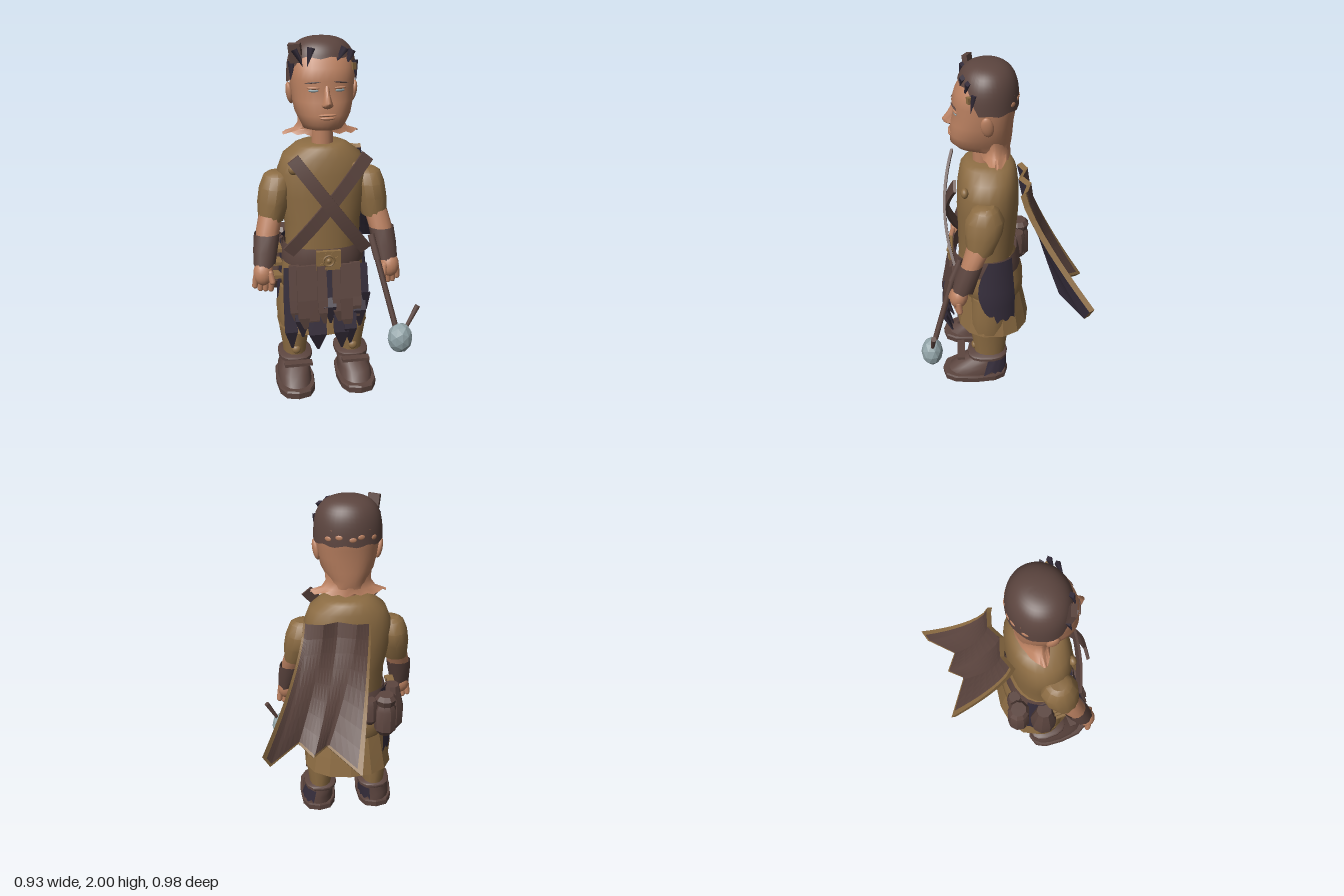
import * as THREE from 'three';
import { toCreasedNormals } from 'three/addons/utils/BufferGeometryUtils.js';

const paint = (name, color) => new THREE.MeshStandardMaterial({ name, color, side: THREE.DoubleSide });
const V = (x, y, z) => new THREE.Vector3(x, y, z);
const { lerp, smoothstep } = THREE.MathUtils;
const SMOOTH = 0.9, FLAT = 0.01;

export function createModel() {
  const tan = paint('tan cloth', 0x8c6c43), skin = paint('skin', 0xbb8161), brown = paint('brown leather', 0x5c453f);
  const navy = paint('dark cloth', 0x352d3b), steel = paint('steel', 0x92a4a8);

  const root = new THREE.Group();
  const figure = new THREE.Group();
  figure.name = 'figure';
  figure.position.x = -0.055;
  root.add(figure);

  const add = (parent, name, geo, mat, pos = [0, 0, 0], rot = [0, 0, 0], scale = [1, 1, 1]) => {
    const m = new THREE.Mesh(geo, mat);
    m.name = name;
    m.position.set(...pos); m.rotation.set(...rot); m.scale.set(...scale);
    parent.add(m);
    return m;
  };

  // Skin over rings listed from top to bottom: [y, centre x, half width, back z, front z]
  function loft(rings, { seg = 20, start = 0, arc = Math.PI * 2, p = 2, cap = true, jag = 0, crease = SMOOTH } = {}) {
    const full = arc > 6.28, n = full ? seg : seg + 1, pos = [], idx = [];
    const pw = c => Math.sign(c) * Math.pow(Math.abs(c), 2 / p);
    rings.forEach(([y, cx, rx, zb, zf], r) => {
      for (let i = 0; i < n; i++) {
        const a = start + arc * i / seg, drop = r === rings.length - 1 ? jag * ((i * 7) % 5 - 2) / 2 : 0;
        pos.push(cx + rx * pw(Math.sin(a)), y + drop, (zb + zf) / 2 + (zf - zb) / 2 * pw(Math.cos(a)));
      }
    });
    for (let r = 0; r < rings.length - 1; r++) for (let i = 0; i < seg; i++) {
      const j = (i + 1) % n, a = r * n + i, b = a + n, c = (r + 1) * n + j, d = r * n + j;
      idx.push(a, b, d, b, c, d);
    }
    if (cap && full) [0, rings.length - 1].forEach((r, k) => {
      const [y, cx, , zb, zf] = rings[r], c = pos.length / 3;
      pos.push(cx, y, (zb + zf) / 2);
      for (let i = 0; i < n; i++) {
        const a = r * n + i, b = r * n + (i + 1) % n;
        k ? idx.push(c, b, a) : idx.push(c, a, b);
      }
    });
    return finish(pos, idx, crease);
  }
  // Sheet from a rule f(u, v) -> Vector3
  function sheet(f, nu, nv, crease = SMOOTH) {
    const pos = [], idx = [];
    for (let j = 0; j <= nv; j++) for (let i = 0; i <= nu; i++) pos.push(...f(i / nu, j / nv).toArray());
    for (let j = 0; j < nv; j++) for (let i = 0; i < nu; i++) {
      const a = j * (nu + 1) + i, b = a + nu + 1;
      idx.push(a, a + 1, b, a + 1, b + 1, b);
    }
    return finish(pos, idx, crease);
  }
  function finish(pos, idx, crease) {
    const g = new THREE.BufferGeometry();
    g.setAttribute('position', new THREE.Float32BufferAttribute(pos, 3));
    g.setIndex(idx);
    g.computeVertexNormals();
    return toCreasedNormals(g, crease);
  }
  function rod(name, a, b, r0, r1 = r0) {
    const d = V(...b).sub(V(...a));
    const m = add(root, name, new THREE.CylinderGeometry(r1, r0, d.length(), 8), brown);
    m.position.copy(V(...a)).addScaledVector(d, 0.5);
    m.quaternion.setFromUnitVectors(V(0, 1, 0), d.normalize());
  }
  const ball = new THREE.SphereGeometry(1, 16, 12);
  const rectLoft = { seg: 4, start: Math.PI / 4, crease: FLAT };

  // Head and face
  add(figure, 'head', loft([[1.975, 0, 0.07, 0, 0.13], [1.95, 0, 0.12, -0.04, 0.18], [1.9, 0, 0.158, -0.07, 0.222],
    [1.85, 0, 0.172, -0.082, 0.25], [1.79, 0, 0.173, -0.078, 0.268], [1.74, 0, 0.168, -0.07, 0.26], [1.68, 0, 0.163, -0.06, 0.277],
    [1.61, 0, 0.148, -0.055, 0.283], [1.56, 0, 0.122, -0.05, 0.283], [1.53, 0, 0.108, -0.045, 0.25], [1.51, 0, 0.1, -0.04, 0.14]],
    { seg: 32, p: 2.3 }), skin);
  add(figure, 'neck', new THREE.CylinderGeometry(0.058, 0.06, 0.14, 16), skin, [0, 1.48, 0.105]);
  add(figure, 'raggedNeckEdge', loft([[1.6, 0, 0.13, -0.052, 0.16], [1.54, 0, 0.125, -0.044, 0.14], [1.505, 0, 0.15, -0.042, 0.125],
    [1.478, 0, 0.212, -0.046, 0.125]], { seg: 32, p: 1.5, cap: false, jag: 0.01 }), skin);
  add(figure, 'nose', loft([[1.77, 0, 0.014, 0.2, 0.264], [1.72, 0, 0.018, 0.2, 0.292], [1.682, 0, 0.026, 0.2, 0.322], [1.665, 0, 0.034, 0.2, 0.314],
    [1.65, 0, 0.024, 0.2, 0.285]], { seg: 14 }), skin);
  add(figure, 'upperLip', ball, skin, [0, 1.617, 0.274], [0, 0, 0], [0.05, 0.008, 0.018]);
  add(figure, 'lowerLip', ball, skin, [0, 1.6, 0.274], [0, 0, 0], [0.043, 0.01, 0.018]);
  for (const s of [-1, 1]) {
    add(figure, 'eye', ball, steel, [s * 0.07, 1.741, 0.25], [0, s * 0.25, 0], [0.027, 0.008, 0.006]);
    add(figure, 'eyelid', ball, skin, [s * 0.07, 1.754, 0.249], [0, s * 0.25, 0], [0.034, 0.008, 0.01]);
    add(figure, 'eyebrow', ball, brown, [s * 0.075, 1.783, 0.257], [0, s * 0.3, -s * 0.12], [0.042, 0.004, 0.006]);
    add(figure, 'ear', ball, skin, [s * 0.172, 1.705, 0.085], [0.15, 0, -s * 0.18], [0.02, 0.06, 0.034]);
  }

  // Hair cap with a higher hairline at the front, and loose locks
  add(figure, 'hairCap', sheet((u, v) => {
    const a = u * Math.PI * 2, low = 1.768 + 0.135 * smoothstep(Math.cos(a), 0.25, 0.75) + 0.006 * Math.sin(a * 9);
    const y = low + (2 - low) * (1 - Math.pow(1 - v, 2.2));
    const r = Math.pow(Math.max(0, 1 - Math.pow((y - 1.72) / 0.28, 4)), 0.385);
    return V(0.187 * r * Math.sin(a), y, 0.078 + 0.167 * r * Math.cos(a));
  }, 40, 14), brown);
  [[-0.172, 1.83, 0.165, 0.1], [-0.135, 1.9, 0.2, -0.4], [-0.085, 1.905, 0.216, 0.25],
    [0.075, 1.91, 0.214, 0.6], [0.125, 1.89, 0.19, 0.4], [0.168, 1.83, 0.16, -0.1]].forEach(([x, y, z, tilt]) =>
    add(figure, 'hairLock', new THREE.ConeGeometry(0.022, 0.1, 4), navy, [x, y, z], [Math.PI - 0.2, 0, tilt], [1, 1, 0.7]));
  add(figure, 'hairTuft', new THREE.BoxGeometry(0.065, 0.1, 0.03), brown, [-0.15, 1.925, 0.175], [0.2, -0.4, 0.15]);
  add(figure, 'hairClasp', new THREE.BoxGeometry(0.025, 0.035, 0.03), tan, [0.152, 1.85, 0.172], [0, 0.5, 0]);
  [-0.75, -0.3, -0.05, 0.35, 0.7].forEach((a, i) => add(figure, 'bareScalpPatch', ball, skin,
    [0.184 * Math.sin(a), 1.805 + 0.012 * (i % 2), 0.078 - 0.165 * Math.cos(a)], [0, -a, 0], [0.02, 0.013, 0.005]));

  // Tunic, hips and skirt
  add(figure, 'tunic', loft([[1.435, 0, 0.115, -0.03, 0.2], [1.42, 0, 0.15, -0.06, 0.22], [1.37, 0, 0.215, -0.08, 0.24],
    [1.28, 0, 0.25, -0.09, 0.255], [1.15, 0, 0.245, -0.092, 0.26], [1, 0, 0.215, -0.08, 0.258], [0.85, 0, 0.21, -0.065, 0.26]],
    { seg: 24, p: 2.2 }), tan);
  add(figure, 'hips', loft([[0.84, 0, 0.205, -0.06, 0.25], [0.77, 0, 0.225, -0.09, 0.265], [0.68, 0, 0.243, -0.12, 0.265],
    [0.6, 0, 0.24, -0.123, 0.25], [0.555, 0, 0.2, -0.1, 0.235]], { seg: 24, p: 2.2 }), tan);
  add(figure, 'skirt', loft([[0.59, 0, 0.222, -0.108, 0.242], [0.46, 0, 0.245, -0.135, 0.265], [0.345, 0, 0.265, -0.157, 0.285]],
    { seg: 14, p: 2.3, cap: false, crease: FLAT }), tan);
  add(figure, 'skirtLining', loft([[0.5, 0, 0.2, -0.1, 0.24], [0.35, 0, 0.252, -0.145, 0.275]], { seg: 14, p: 2.3, crease: FLAT }), tan);
  for (const s of [-1, 1]) {
    // Hip cloth, widest at its middle and ragged below
    add(figure, 'sideFlap', sheet((u, v) => {
      const front = 0.05 + 0.3 * Math.sin(Math.PI * Math.min(1, v * 1.05)), a = lerp(-front, 0.72, u);
      const r = lerp(0.236, 0.264, Math.min(1, v * 1.6));
      const rag = v === 1 ? 0.015 * Math.sin(u * 17) : 0;
      return V(s * r * Math.pow(Math.cos(a), 0.91), lerp(0.88, 0.465, v) + rag, 0.08 - (r - 0.046) * Math.sin(a));
    }, 10, 8), navy);
    add(figure, 'shoulderButton', ball, tan, [s * 0.172, 1.315, 0.212], [0, 0, 0], [0.03, 0.03, 0.022]);
  }

  // Belt and buckle
  add(figure, 'belt', loft([[0.875, 0, 0.222, -0.085, 0.29], [0.82, 0, 0.234, -0.1, 0.3], [0.765, 0, 0.234, -0.105, 0.295]],
    { seg: 24, p: 2.3, cap: false }), brown);
  add(figure, 'buckle', new THREE.BoxGeometry(0.135, 0.11, 0.025), tan, [0, 0.818, 0.306]);
  add(figure, 'buckleRing', new THREE.TorusGeometry(0.03, 0.006, 6, 16), tan, [0, 0.818, 0.32]);
  add(figure, 'buckleStud', ball, tan, [0, 0.818, 0.32], [0, 0, 0], [0.015, 0.015, 0.012]);
  for (let i = 0; i < 8; i++) {
    const a = i * Math.PI / 4 + Math.PI / 8;
    add(figure, 'buckleRay', new THREE.BoxGeometry(0.018, 0.007, 0.008), tan,
      [0.045 * Math.cos(a), 0.818 + 0.043 * Math.sin(a), 0.32], [0, 0, a]);
  }

  // Crossed chest straps, bowed forward in the middle
  [[-0.24, 0.16, 0.33], [0.165, -0.27, 0.316]].forEach(([xTop, xLow, z]) => {
    const dx = xLow - xTop, dy = -0.53, len = Math.hypot(dx, dy);
    const g = new THREE.BoxGeometry(len, 0.07, 0.016, 14, 1, 1), p = g.attributes.position;
    for (let i = 0; i < p.count; i++) p.setZ(i, p.getZ(i) - 0.45 * p.getX(i) ** 2);
    g.computeVertexNormals();
    add(root, 'chestStrap', g, brown, [(xTop + xLow) / 2, 1.125, z], [0, 0, Math.atan2(-dy, -dx)]);
  });

  // Tattered front cloth: pointed brown strips over longer dark ones that flare forward
  [[-0.245, 0.04, 0.46], [-0.2, 0.045, 0.43], [-0.145, 0.045, 0.41], [-0.095, 0.035, 0.46],
    [-0.01, 0.035, 0.46], [0.04, 0.045, 0.41], [0.095, 0.04, 0.48]].forEach(([x, w, low], i) => {
    const z = 0.3 - 0.5 * (x + 0.055) ** 2 + (i % 2) * 0.01;
    add(root, 'clothStrip', loft([[0.79, x, w, z - 0.01, z + 0.014], [0.6, x, w * 1.1, z + 0.03, z + 0.052],
      [low + 0.07, x, w, z + 0.045, z + 0.065], [low, x + 0.012, w * 0.35, z + 0.042, z + 0.055]], rectLoft), brown);
  });
  [[-0.27, 0.05, 0.29], [-0.21, 0.055, 0.36], [-0.125, 0.07, 0.28], [-0.055, 0.05, 0.44], [0.01, 0.06, 0.28],
    [0.06, 0.05, 0.3], [0.115, 0.05, 0.4], [0.15, 0.035, 0.5]].forEach(([x, w, low], i) => {
    const z = 0.295 - 0.5 * (x + 0.055) ** 2;
    add(root, 'darkClothStrip', loft([[0.77, x, w * 0.8, z - 0.01, z], [0.6, x, w, z + 0.02, z + 0.035],
      [low + 0.12, x, w, z + 0.055, z + 0.075 + (i % 3 === 2 ? 0.012 : 0)],
      [low, x + 0.01, 0.008, z + 0.02, z + 0.03]], rectLoft), navy);
  });

  // Arms, legs and boots, mirrored
  for (const s of [-1, 1]) {
    const arm = new THREE.Group(), leg = new THREE.Group();
    arm.name = s > 0 ? 'leftArm' : 'rightArm';
    leg.name = s > 0 ? 'leftLeg' : 'rightLeg';
    figure.add(arm, leg);
    add(arm, 'sleeve', loft([[1.28, s * 0.25, 0.05, 0.055, 0.15], [1.262, s * 0.252, 0.075, 0.03, 0.178], [1.2, s * 0.262, 0.09, 0, 0.212],
      [1.12, s * 0.275, 0.09, 0.012, 0.218], [1.015, s * 0.292, 0.072, 0.06, 0.212]], { seg: 12, crease: 0.6 }), tan);
    add(arm, 'forearm', loft([[1.05, s * 0.295, 0.066, 0.07, 0.21], [0.97, s * 0.315, 0.066, 0.11, 0.235],
      [0.78, s * 0.345, 0.045, 0.2, 0.29]], { seg: 14 }), skin);
    add(arm, 'cuff', loft([[0.955, s * 0.322, 0.072, 0.115, 0.25], [0.87, s * 0.335, 0.068, 0.145, 0.28], [0.79, s * 0.345, 0.06, 0.175, 0.3]],
      { seg: 12, cap: false, jag: 0.012 }), brown);
    add(arm, 'palm', ball, skin, [s * 0.355, 0.75, 0.262], [-0.2, 0, 0], [0.055, 0.07, 0.052]);
    for (let i = 0; i < 4; i++)
      add(arm, 'finger', new THREE.CapsuleGeometry(0.017, 0.055, 4, 8), skin,
        [s * (0.315 + i * 0.028), 0.688 + (i === 3 ? 0.015 : 0), 0.285 - i * 0.008], [0.1, 0, s * 0.1]);
    add(arm, 'thumb', new THREE.CapsuleGeometry(0.017, 0.05, 4, 8), skin, [s * 0.315, 0.735, 0.3], [-0.3, 0, -s * 0.2]);

    const x = s * 0.168, bx = s * 0.18;
    add(leg, 'trouserLeg', loft([[0.6, x, 0.09, -0.02, 0.19], [0.46, s * 0.172, 0.098, -0.025, 0.2], [0.33, x, 0.09, -0.025, 0.2],
      [0.2, x, 0.07, -0.01, 0.185], [0.1, x, 0.066, 0, 0.18]], { seg: 14 }), tan);
    add(leg, 'shinButton', ball, tan, [s * 0.168, 0.21, 0.182], [0, 0, 0], [0.026, 0.026, 0.018]);
    add(leg, 'sole', loft([[0.045, bx, 0.108, -0.018, 0.375], [0.035, bx, 0.113, -0.022, 0.382], [0, bx, 0.11, -0.02, 0.38]],
      { seg: 12, p: 2.8, crease: 0.4 }), brown);
    add(leg, 'boot', loft([[0.15, x, 0.08, -0.008, 0.195], [0.125, x, 0.086, -0.01, 0.23], [0.09, bx, 0.093, -0.012, 0.3],
      [0.04, bx, 0.098, -0.014, 0.35]], { seg: 16, p: 2.3 }), brown);
    // The dark patch sits on the same side of both boots
    add(leg, 'heelPatch', loft([[0.14, x, 0.09, -0.018, 0.24], [0.055, bx, 0.104, -0.018, 0.3]],
      { seg: 8, start: Math.PI / 2 + 0.05, arc: 1.2, jag: 0.015, p: 2.3 }), navy);
    add(leg, 'ankleStrap', loft([[0.175, x, 0.09, -0.012, 0.215], [0.168, x, 0.1, -0.02, 0.225], [0.15, x, 0.1, -0.02, 0.225],
      [0.143, x, 0.09, -0.012, 0.215]], { seg: 14, p: 2.6 }), brown);
    add(leg, 'strapTongue', new THREE.BoxGeometry(0.16, 0.018, 0.045), brown, [x, 0.165, 0.265]);
  }

  // Hip pouches at the back right; each profile row is [y, radius]
  const pouch = (name, x, z, profile) => add(root, name,
    loft(profile.map(([y, r]) => [y, x, r, z - r, z + r]), { seg: 9, crease: 0.5 }), brown);
  pouch('flask', -0.26, -0.11, [[0.885, 0.045], [0.86, 0.064], [0.82, 0.05], [0.79, 0.064], [0.66, 0.066], [0.62, 0.035]]);
  pouch('bag', -0.315, 0.03, [[0.87, 0.045], [0.82, 0.055], [0.72, 0.078], [0.62, 0.075], [0.56, 0.035]]);
  pouch('smallPouch', -0.17, -0.1, [[0.85, 0.035], [0.82, 0.045], [0.72, 0.045], [0.69, 0.025]]);
  for (const y of [0.68, 0.76, 0.84])
    add(root, 'scrollPlate', new THREE.BoxGeometry(0.05, 0.02, 0.1), tan, [-0.32, y, 0.13]);

  // Hanging flail
  rod('shaftTop', [0.195, 0.93, 0.245], [0.222, 0.8, 0.3], 0.02);
  rod('shaft', [0.222, 0.8, 0.3], [0.31, 0.42, 0.415], 0.016);
  add(root, 'flailHead', toCreasedNormals(new THREE.IcosahedronGeometry(1, 1), FLAT), steel, [0.33, 0.37, 0.43], [0, 0, 0], [0.071, 0.09, 0.063]);
  rod('spike', [0.36, 0.42, 0.425], [0.43, 0.55, 0.41], 0.01, 0.016);

  // Cape blown back and to the left, folded between its corner points
  const top = [V(-0.165, 1.34, -0.115), V(-0.08, 1.35, -0.145), V(0.02, 1.355, -0.11), V(0.1, 1.36, -0.15), V(0.18, 1.355, -0.125), V(0.205, 1.36, -0.11)];
  const low = [V(-0.08, 0.59, -0.485), V(0.1, 0.7, -0.335), V(0.18, 0.68, -0.41), V(0.26, 0.73, -0.335), V(0.42, 0.675, -0.46), V(0.46, 0.755, -0.48)];
  const capePoint = (u, v, depth) => {
    const t = u * (top.length - 1), i = Math.min(top.length - 2, Math.floor(t));
    const a = top[i].clone().lerp(top[i + 1], t - i), b = low[i].clone().lerp(low[i + 1], t - i);
    const x = lerp(a.x, b.x, Math.pow(v, 1.5)), z = lerp(a.z, b.z, Math.pow(v, 1.35));
    return V(x, lerp(a.y, b.y, v) - 0.018 * depth, z + 0.026 * depth);
  };
  const cape = new THREE.Group();
  cape.name = 'cape';
  root.add(cape);
  const panel = (name, mat, u0, u1, v0, v1, depth, nu, nv) => add(cape, name,
    sheet((u, v) => capePoint(u0 + (u1 - u0) * u, v0 + (v1 - v0) * v, depth), nu, nv, FLAT), mat);
  panel('capeOuter', brown, 0.03, 0.92, 0, 0.98, 0, 22, 8);
  panel('capeLining', navy, 0, 1, 0, 1, 1, 25, 8);
  panel('capeHem', tan, 0, 1, 0.98, 1, 0, 25, 1);
  for (const u of [0, 1]) {
    panel('capeBorder', tan, u ? 0.92 : 0, u ? 1 : 0.03, 0, 0.98, 0, 2, 8);
    add(cape, 'capeSideEdge', sheet((d, v) => capePoint(u, v, d), 1, 8, FLAT), tan);
    add(cape, 'capeEndEdge', sheet((t, d) => capePoint(t, u, d), 25, 1, FLAT), tan);
  }
  return root;
}
